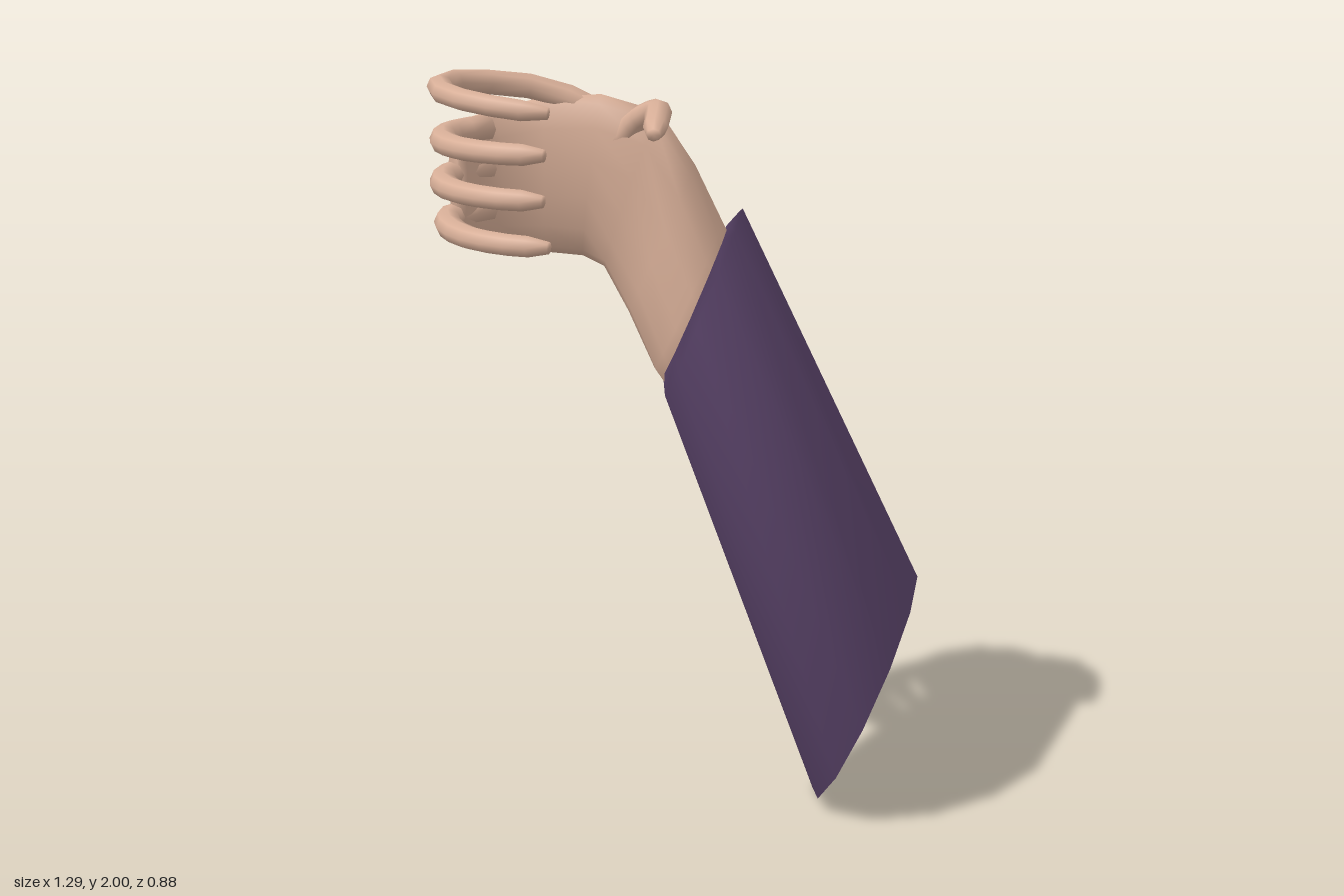
import * as THREE from 'three';

const V = (x, y, z) => new THREE.Vector3(x, y, z);
// u runs diagonally towards the front left, w runs across the sleeve
const D = (u, w, y) => V((u + w) * Math.SQRT1_2, y, (u - w) * Math.SQRT1_2);

// Smooth skin over elliptical rings [centre, half axis, other half axis]
function loft(rings, sides, capStart = true, capEnd = true) {
  const pos = [], idx = [];
  for (const [c, a, b] of rings) {
    for (let i = 0; i < sides; i++) {
      const t = (i / sides) * Math.PI * 2;
      const p = c.clone().addScaledVector(a, Math.cos(t)).addScaledVector(b, Math.sin(t));
      pos.push(p.x, p.y, p.z);
    }
  }
  const [c0, a0, b0] = rings[0];
  const flip = a0.clone().cross(b0).dot(rings[1][0].clone().sub(c0)) < 0;
  const tri = (a, b, c) => (flip ? idx.push(a, c, b) : idx.push(a, b, c));
  for (let r = 0; r < rings.length - 1; r++) {
    for (let i = 0; i < sides; i++) {
      const a = r * sides + i, b = r * sides + ((i + 1) % sides);
      tri(a, b, b + sides);
      tri(a, b + sides, a + sides);
    }
  }
  const cap = (r, last) => {
    const k = pos.length / 3, c = rings[r][0];
    pos.push(c.x, c.y, c.z);
    for (let i = 0; i < sides; i++) {
      const a = r * sides + i, b = r * sides + ((i + 1) % sides);
      if (last) tri(a, b, k);
      else tri(b, a, k);
    }
  };
  if (capStart) cap(0, false);
  if (capEnd) cap(rings.length - 1, true);
  const g = new THREE.BufferGeometry();
  g.setAttribute('position', new THREE.Float32BufferAttribute(pos, 3));
  g.setIndex(idx);
  g.computeVertexNormals();
  return g;
}

// Tapered finger following a smooth path
function finger(points, radius) {
  const curve = new THREE.CatmullRomCurve3(points.map((p) => V(...p)));
  const n = 10, rings = [];
  for (let i = 0; i <= n; i++) {
    const t = i / n, tan = curve.getTangent(t);
    const r = radius * (i === n ? 0.45 : 1 - 0.25 * t);
    const side = V(tan.z, 0, -tan.x).normalize();
    const up = tan.clone().cross(side).normalize();
    rings.push([curve.getPoint(t), up.multiplyScalar(r), side.multiplyScalar(r * 1.1)]);
  }
  return loft(rings, 8);
}

export function createModel() {
  const skin = new THREE.MeshStandardMaterial({ color: 0xd8af98 });
  skin.name = 'skin';
  const cloth = new THREE.MeshStandardMaterial({ color: 0x5c456c, side: THREE.DoubleSide });
  cloth.name = 'purple cloth';
  const model = new THREE.Group();
  const add = (name, geometry, material) => {
    const mesh = new THREE.Mesh(geometry, material);
    mesh.name = name;
    model.add(mesh);
  };

  // Slanted sleeve, closed at the elbow, with a lip turned in at the cuff
  add('sleeve', loft([
    [D(0.43, 0.155, 0.32), D(0.135, 0, 0.31), D(0, 0.315, 0)],
    [D(0.0, 0.11, 1.38), D(0.1, 0, 0.25), D(0, 0.24, 0)],
    [D(-0.02, 0.11, 1.39), D(0.085, 0, 0.2), D(0, 0.185, 0)],
    [D(0.02, 0.11, 1.3), D(0.085, 0, 0.19), D(0, 0.175, 0)],
  ], 12, true, false), cloth);

  // Forearm narrowing to the wrist, then the palm curling round
  add('forearmAndPalm', loft([
    [V(0.1, 1.27, -0.05), V(0.06, 0.18, 0.06), V(0.115, 0, -0.115)],
    [V(0.05, 1.4, -0.105), V(0.06, 0.195, 0.065), V(0.115, 0, -0.115)],
    [V(-0.005, 1.55, -0.145), V(0.04, 0.2, 0.085), V(0.075, 0, -0.075)],
    [V(-0.07, 1.68, -0.185), V(0.01, 0.215, 0.1), V(0.045, 0, -0.035)],
    [V(-0.125, 1.71, -0.275), V(0, 0.215, 0.04), V(0.04, 0, -0.035)],
    [V(-0.215, 1.71, -0.365), V(0, 0.2, 0.005), V(0.022, 0, -0.036)],
    [V(-0.33, 1.705, -0.412), V(0, 0.182, 0), V(0, 0, -0.033)],
    [V(-0.42, 1.72, -0.4), V(0, 0.158, 0), V(-0.014, 0, -0.028)],
    [V(-0.475, 1.735, -0.37), V(0, 0.125, 0), V(-0.015, 0, -0.02)],
  ], 14), skin);

  // Index finger branches off early along the top of the palm
  add('indexFinger', finger([
    [-0.11, 1.87, -0.25], [-0.19, 1.925, -0.345], [-0.33, 1.955, -0.412],
    [-0.48, 1.975, -0.4], [-0.575, 1.98, -0.29], [-0.6, 1.98, -0.16],
    [-0.56, 1.972, -0.04], [-0.505, 1.965, 0.035],
  ], 0.033), skin);

  // Remaining three fingers: [name, height at palm, height at tip, outward shift]
  for (const [name, y0, y1, s] of [
    ['middleFinger', 1.845, 1.865, 0],
    ['ringFinger', 1.745, 1.755, 0.005],
    ['littleFinger', 1.64, 1.64, -0.01],
  ]) {
    const y = (t) => y0 + (y1 - y0) * t;
    add(name, finger([
      [-0.36, y(0), -0.405], [-0.48, y(0.2), -0.39], [-0.565 - s, y(0.4), -0.3],
      [-0.595 - s, y(0.7), -0.18], [-0.57 - s, y(0.9), -0.06], [-0.515 - s, y(1), 0.03],
    ], 0.034), skin);
  }

  // Thumb reaching forward from the wrist
  add('thumb', finger([
    [-0.1, 1.8, -0.2], [-0.09, 1.87, -0.13], [-0.1, 1.905, -0.05],
    [-0.155, 1.91, 0.02], [-0.245, 1.89, 0.11],
  ], 0.036), skin);

  return model;
}
